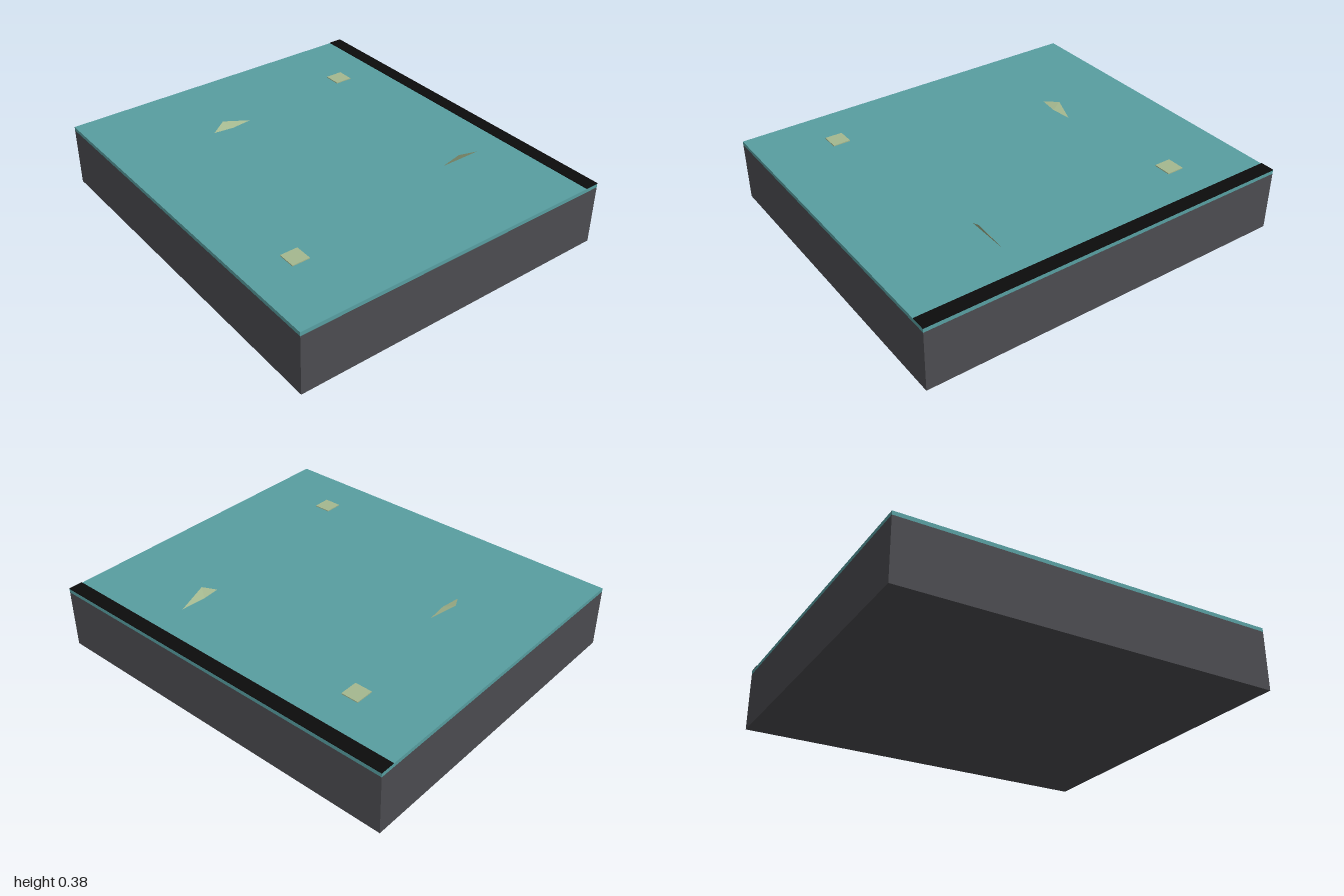
import * as THREE from 'three';

const TOP = 0.335;

function material(name, color) {
  const m = new THREE.MeshStandardMaterial({ color });
  m.name = name;
  return m;
}

export function createModel() {
  const model = new THREE.Group();
  model.name = 'waterTile';
  const stone = material('darkStone', 0x4c4c50);
  const water = material('tealWater', 0x589ea1);
  const black = material('blackEdge', 0x0c0c0c);
  const sand = material('paleGreen', 0xa5b88f);

  function add(name, geometry, mat) {
    const mesh = new THREE.Mesh(geometry, mat);
    mesh.name = name;
    model.add(mesh);
    return mesh;
  }

  // Box resting on height y
  function slab(name, mat, w, h, d, x, y, z) {
    add(name, new THREE.BoxGeometry(w, h, d), mat).position.set(x, y + h / 2, z);
  }

  // Four-cornered leaning shard: back, front and side base corners, then the apex
  function shard(name, corners) {
    const [a, b, c, apex] = corners.map((p) => new THREE.Vector3(...p));
    const normal = b.clone().sub(a).cross(c.clone().sub(a));
    const [p, q] = normal.dot(apex.clone().sub(a)) > 0 ? [b, c] : [c, b];
    const points = [a, q, p, a, p, apex, p, q, apex, q, a, apex];
    const geometry = new THREE.BufferGeometry().setFromPoints(points);
    geometry.computeVertexNormals();
    add(name, geometry, sand);
  }

  // Base, water surface and rear border strip
  slab('base', stone, 2, 0.315, 1.75, 0, 0, 0);
  slab('waterSurface', water, 2, TOP - 0.315, 1.75, 0, 0.315, 0);
  slab('rearStrip', black, 2, 0.004, 0.075, 0, TOP, -0.8375);

  // Small flat pads
  slab('rearPad', sand, 0.092, 0.005, 0.095, -0.605, TOP, -0.56);
  slab('frontPad', sand, 0.092, 0.005, 0.092, 0.597, TOP, 0.61);

  // Leaning shards
  shard('rearShard', [
    [0.441, TOP, -0.625], [0.441, TOP, -0.395], [0.432, TOP, -0.49], [0.463, 0.38, -0.475],
  ]);
  shard('frontShard', [
    [-0.508, TOP, 0.106], [-0.508, TOP, 0.326], [-0.495, TOP, 0.22], [-0.553, 0.355, 0.245],
  ]);

  return model;
}
